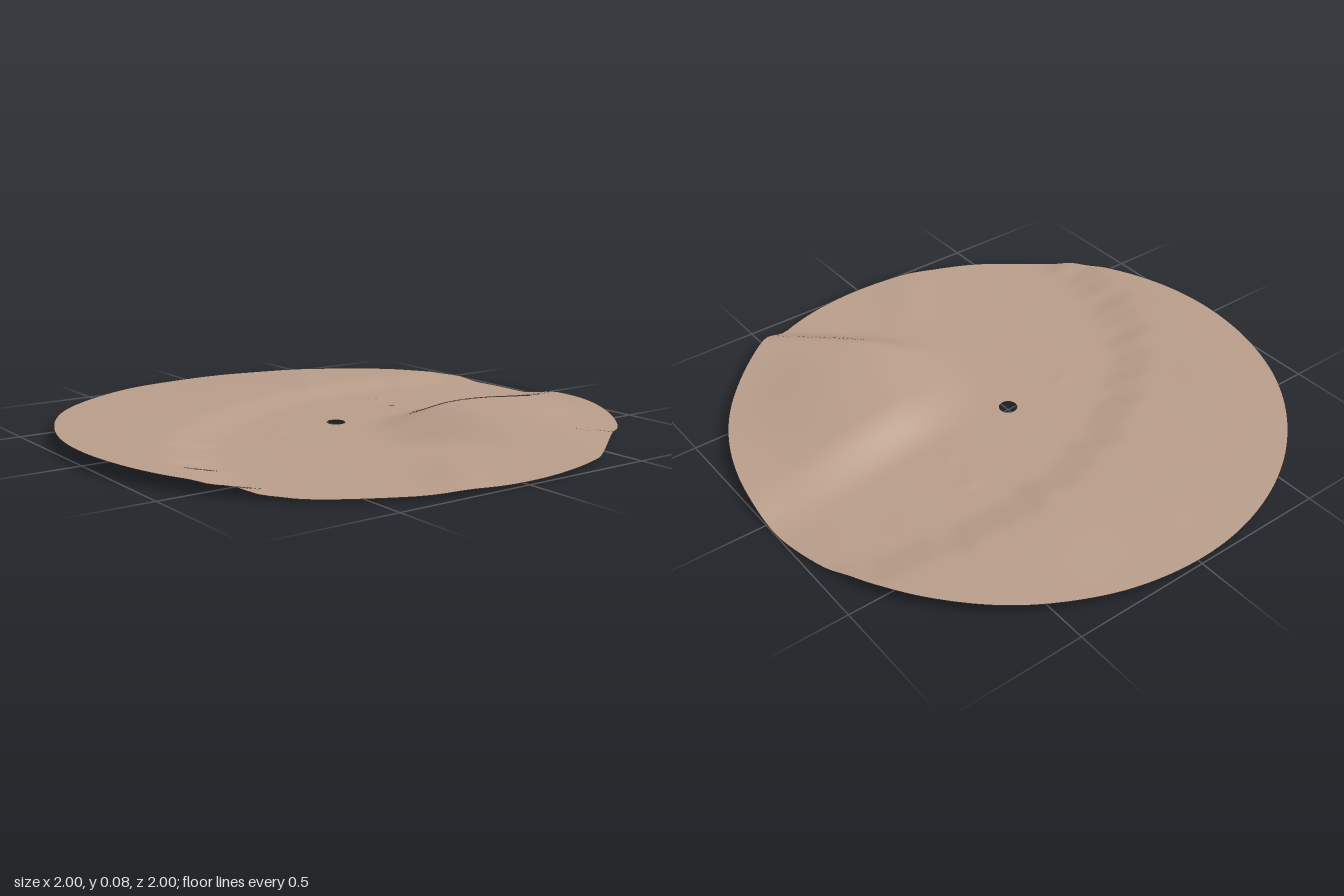
import * as THREE from 'three';

const step = THREE.MathUtils.smoothstep; // (value, low, high)
const bump = (x, z, cx, cz, rx, rz = rx) =>
  Math.exp(-(((x - cx) / rx) ** 2) - ((z - cz) / rz) ** 2);

// Small weathered boulders: x, z, radius, height
const rocks = [
  [-0.26, 0.01, 0.03, 0.004], [0.34, -0.1, 0.025, 0.004],
  [0.36, -0.25, 0.025, 0.004], [0.33, -0.2, 0.02, 0.002], [0.38, -0.06, 0.025, 0.002],
];

// Soft undulation of the ground
function ripple(x, z) {
  return 0.001 * Math.sin(7 * x + 3 * z + 1) + 0.0008 * Math.sin(5 * x - 11 * z)
    + 0.0006 * Math.sin(15 * x + 8 * z + 2);
}

function height(x, z) {
  // Basin floor, sinking towards the +x rim
  let y = 0.015 - 0.013 * step(x, 0.5, 1) * bump(0, z, 0, -0.02, 1, 0.3);
  y -= 0.004 * step(z, 0.1, 0.6) * step(-x, -0.1, 0.3);

  // Raised outer plateau behind a gullied, curved escarpment
  const dx = (x - 0.45) / 1.22, dz = z - 0.55;
  const a = Math.atan2(dz, dx);
  const gully = 0.012 * Math.sin(31 * a) + 0.009 * Math.sin(53 * a + 1);
  const r = Math.hypot(dx, dz) + gully * step(Math.hypot(dx, dz), 0.85, 1);
  const plateau = step(r, 0.92, 1.1);
  y += plateau * (0.024 + 0.01 * step(-x, 0.4, 1) - 0.008 * step(-z, 0.6, 1));

  // Hill: steep inner flank, cliff towards the front, long fall to +x
  const inner = step(z + 0.12 * x, 0.03, 0.26);
  const flank = step(x + 0.25 * (z - 0.3), -0.06, 0.37);
  const cliff = step(0.67 * x - 0.74 * z, -0.43, -0.27);
  const fall = 1 - 0.52 * step(x, 0.42, 0.92);
  const crown = 0.062 + 0.008 * bump(x, z, 0.38, 0.4, 0.25);
  y += crown * inner * flank * cliff * fall;
  y -= 0.016 * bump(x, z, 0.66, 0.68, 0.2);

  // Low fold near the front rim
  y += 0.008 * bump(x + 0.55 * (z - 0.8), z, -0.12, 0.85, 0.1, 0.2);

  for (const [cx, cz, rad, h] of rocks) y += h * bump(x, z, cx, cz, rad);
  return y + ripple(x, z);
}

export function createModel() {
  const group = new THREE.Group();
  group.name = 'terrainDisc';

  const soil = new THREE.MeshStandardMaterial({ color: 0xb89c89, side: THREE.DoubleSide });
  soil.name = 'dusty brown soil';

  // Flat ring with a small central hole, lifted into relief
  const geometry = new THREE.RingGeometry(0.032, 1, 192, 72);
  geometry.rotateX(-Math.PI / 2);
  const pos = geometry.attributes.position;
  for (let i = 0; i < pos.count; i++) pos.setY(i, height(pos.getX(i), pos.getZ(i)));
  geometry.computeBoundingBox();
  geometry.translate(0, -geometry.boundingBox.min.y, 0);
  geometry.computeVertexNormals();

  const ground = new THREE.Mesh(geometry, soil);
  ground.name = 'ground';
  group.add(ground);
  return group;
}
